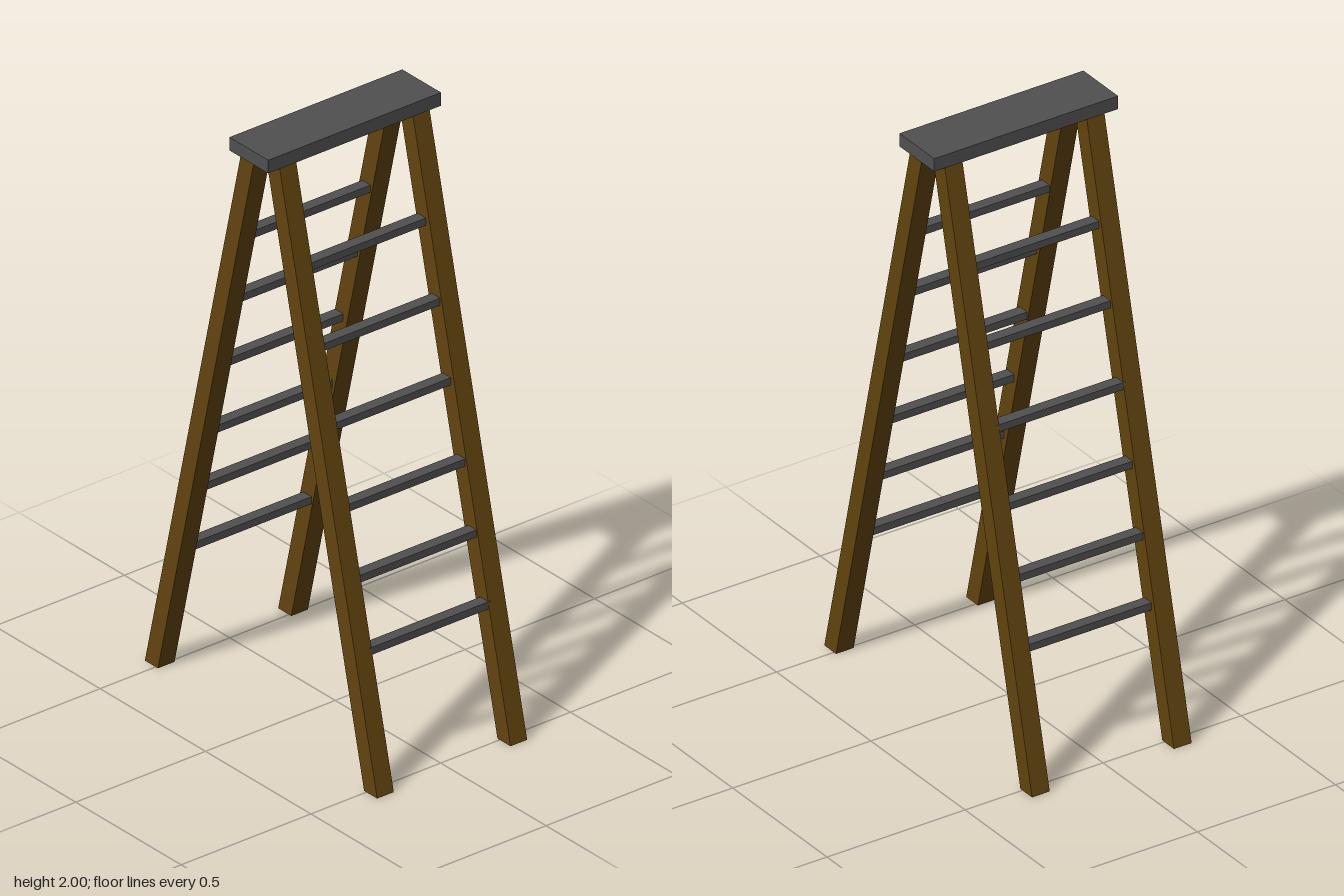
import * as THREE from 'three';

const wood = new THREE.MeshStandardMaterial({ color: 0x62440f, flatShading: true });
const grey = new THREE.MeshStandardMaterial({ color: 0x505050, flatShading: true });

const TOP_Y = 1.955;  // underside of the top board
const FOOT_Z = 0.52;  // leg centre at the floor
const HEAD_Z = 0.057; // leg centre under the board

function box(name, material, w, h, d, x, y, z) {
  const mesh = new THREE.Mesh(new THREE.BoxGeometry(w, h, d), material);
  mesh.name = name;
  mesh.position.set(x, y, z);
  return mesh;
}

// Leaning square leg with level ends: a box sheared along z
function leg(name, x, side) {
  const geo = new THREE.BoxGeometry(0.064, TOP_Y, 0.062);
  geo.translate(0, TOP_Y / 2, 0);
  const p = geo.attributes.position;
  for (let i = 0; i < p.count; i++) {
    const z = THREE.MathUtils.lerp(FOOT_Z, HEAD_Z, p.getY(i) / TOP_Y);
    p.setZ(i, p.getZ(i) + side * z);
  }
  geo.computeVertexNormals();
  const mesh = new THREE.Mesh(geo, wood);
  mesh.name = name;
  mesh.position.x = x;
  return mesh;
}

export function createModel() {
  const ladder = new THREE.Group();
  ladder.name = 'stepladder';

  // Top board
  ladder.add(box('topBoard', grey, 0.666, 0.045, 0.184, 0, 1.9775, 0));

  // Two leaning frames, each with a pair of legs and six rungs
  const rungY = [1.62, 1.375, 1.125, 0.877, 0.657, 0.436];
  const frames = [
    { name: 'front', side: 1, rungZ: [0.13, 0.197, 0.248, 0.316, 0.369, 0.4265] },
    { name: 'back', side: -1, rungZ: [0.133, 0.195, 0.2625, 0.312, 0.3675, 0.413] },
  ];
  for (const { name, side, rungZ } of frames) {
    const frame = new THREE.Group();
    frame.name = name + 'Frame';
    frame.add(leg(name + 'LeftLeg', 0.26, side), leg(name + 'RightLeg', -0.254, side));
    rungY.forEach((y, i) => {
      frame.add(box(name + 'Rung' + (i + 1), grey, 0.47, 0.025, 0.039, 0.003, y, side * rungZ[i]));
    });
    ladder.add(frame);
  }
  return ladder;
}
